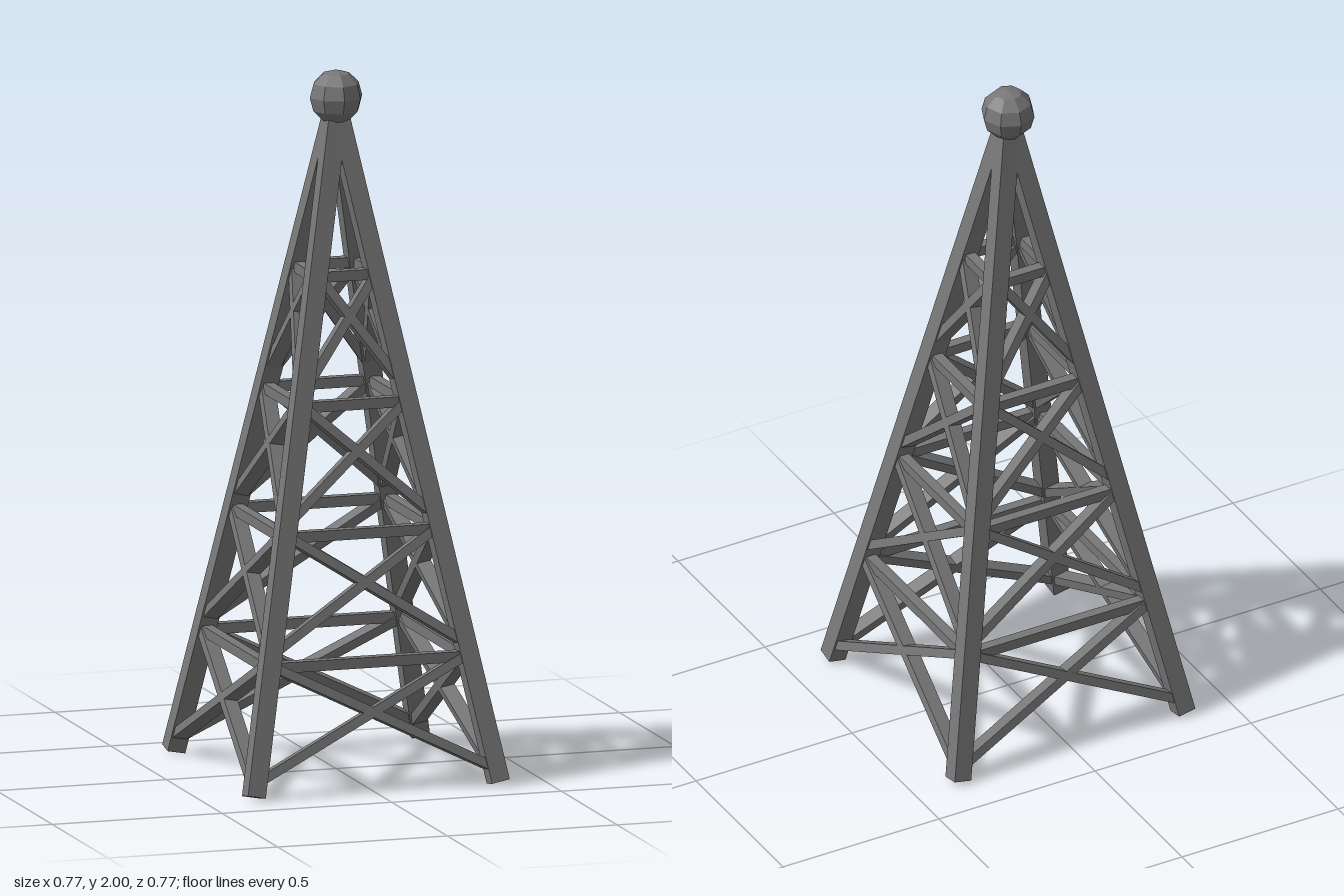
import * as THREE from 'three';

const APEX = 1.89, FOOT = 0.36, FOOT_Y = 0.013;
const material = new THREE.MeshStandardMaterial({ color: 0x777777, flatShading: true });

// Distance of a leg's centre line from the axis at height y
const spread = (y) => FOOT * (APEX - y) / (APEX - FOOT_Y);

// Box beam between two points; its depth axis follows `out` when given
function beam(name, a, b, width, depth, out) {
  const dir = b.clone().sub(a);
  const mesh = new THREE.Mesh(new THREE.BoxGeometry(width, dir.length(), depth), material);
  mesh.name = name;
  mesh.position.copy(a).add(b).multiplyScalar(0.5);
  dir.normalize();
  if (out) {
    const side = dir.clone().cross(out).normalize();
    const normal = side.clone().cross(dir);
    mesh.quaternion.setFromRotationMatrix(new THREE.Matrix4().makeBasis(side, dir, normal));
  } else {
    mesh.quaternion.setFromUnitVectors(new THREE.Vector3(0, 1, 0), dir);
  }
  return mesh;
}

// One side of the lattice, built facing +z
function latticeFace() {
  const face = new THREE.Group();
  face.name = 'latticeFace';
  const out = new THREE.Vector3(0, FOOT, APEX).normalize();
  const at = (side, y) => new THREE.Vector3(side * spread(y), y, spread(y));
  const tiers = [[0.05, 0.365], [0.4, 0.72], [0.755, 1.075], [1.115, 1.43]];
  for (const [low, high] of tiers) {
    face.add(beam('rail', at(-1, high), at(1, high), 0.03, 0.03, new THREE.Vector3(0, 0, 1)));
    for (const s of [-1, 1]) {
      face.add(beam('crossBrace', at(s, low), at(-s, high + 0.005), 0.026, 0.042, out));
    }
  }
  return face;
}

export function createModel() {
  const tower = new THREE.Group();
  tower.name = 'latticeTower';

  // Four legs leaning in to the apex
  for (const x of [-1, 1]) {
    for (const z of [-1, 1]) {
      tower.add(beam('leg', new THREE.Vector3(x * FOOT, FOOT_Y, z * FOOT),
        new THREE.Vector3(0, APEX, 0), 0.053, 0.053));
    }
  }

  // Rails and crossed braces on all four sides
  for (let i = 0; i < 4; i++) {
    const face = latticeFace();
    face.rotation.y = i * Math.PI / 2;
    tower.add(face);
  }

  // Faceted ball on top
  const ball = new THREE.Mesh(new THREE.SphereGeometry(0.077, 8, 6), material);
  ball.name = 'topBall';
  ball.position.y = 1.923;
  tower.add(ball);

  return tower;
}
